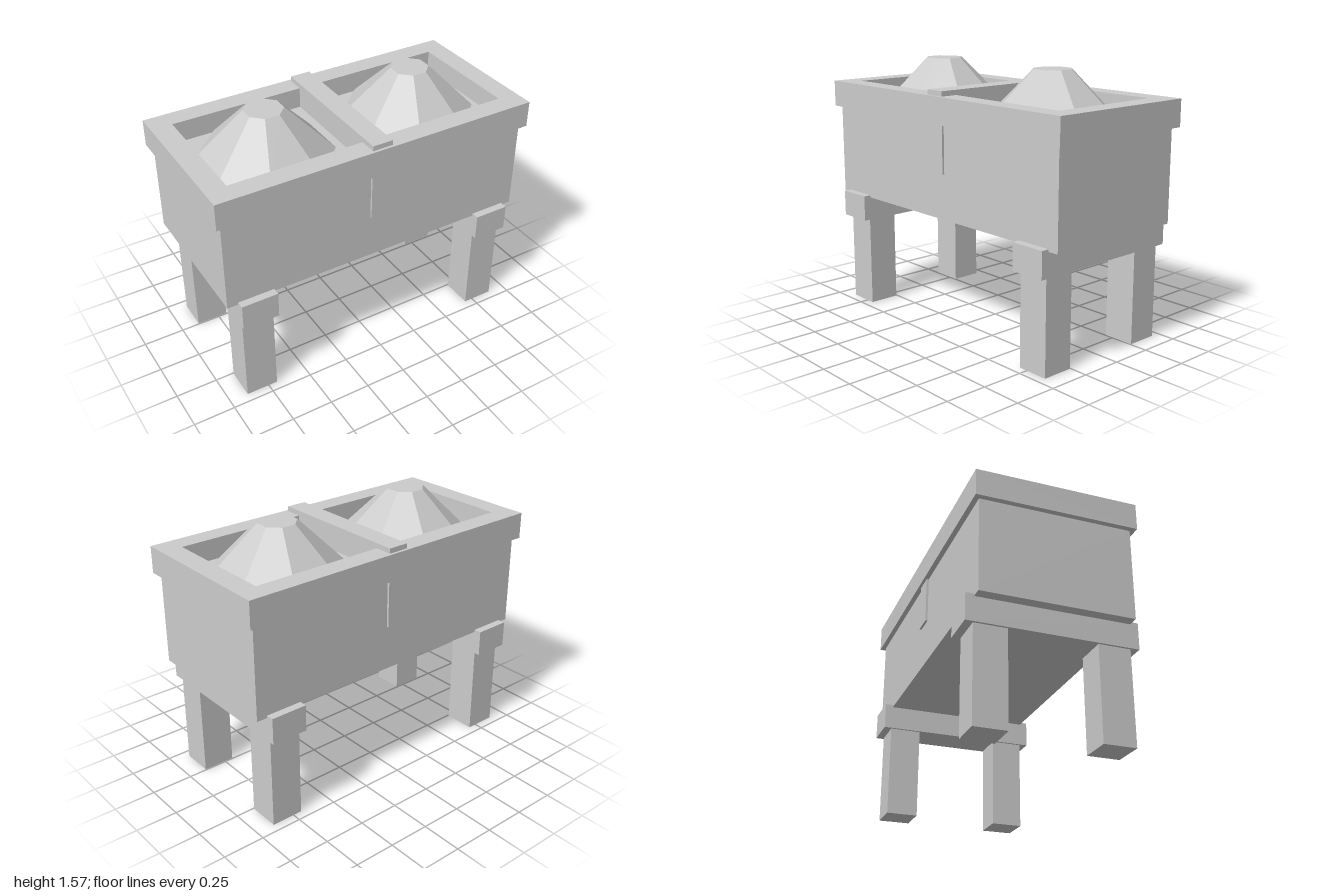
import * as THREE from 'three';

const grey = new THREE.MeshStandardMaterial({ color: 0xcccccc, flatShading: true });

export function createModel() {
  const model = new THREE.Group();

  const add = (name, geometry, x = 0, y = 0, z = 0) => {
    const mesh = new THREE.Mesh(geometry, grey);
    mesh.name = name;
    mesh.position.set(x, y, z);
    model.add(mesh);
    return mesh;
  };
  // Box centred on (x, z), spanning y0 to y1
  const box = (name, w, y0, y1, d, x = 0, z = 0) =>
    add(name, new THREE.BoxGeometry(w, y1 - y0, d), x, (y0 + y1) / 2, z);

  // Trough body and the recessed floor inside the rim
  box('body', 1.934, 0.703, 1.262, 0.892);
  box('innerFloor', 1.76, 1.24, 1.292, 0.72);

  // Rim frame with a rectangular opening
  const rect = (path, hx, hz) =>
    path.moveTo(-hx, -hz).lineTo(hx, -hz).lineTo(hx, hz).lineTo(-hx, hz).closePath();
  const frame = rect(new THREE.Shape(), 1, 0.476);
  frame.holes.push(rect(new THREE.Path(), 0.873, 0.352));
  const rim = new THREE.ExtrudeGeometry(frame, { depth: 0.16, bevelEnabled: false });
  rim.rotateX(-Math.PI / 2);
  add('rim', rim, 0, 1.257, 0);

  // Central divider, showing as a strap over the rim and down both faces
  box('dividerStrap', 0.125, 0.972, 1.447, 0.918);

  // Octagonal mounds, flat sides facing the axes
  const radius = (halfWidth) => halfWidth / Math.cos(Math.PI / 8);
  for (const side of [-1, 1]) {
    const mound = new THREE.CylinderGeometry(radius(0.105), radius(0.366), 0.283, 8);
    mound.rotateY(Math.PI / 8);
    add(side > 0 ? 'leftMound' : 'rightMound', mound, side * 0.476, 1.4325, 0);
  }

  // Cross beams, each carried by a front and a back leg
  for (const side of [-1, 1]) {
    const label = side > 0 ? 'left' : 'right';
    box(label + 'CrossBeam', 0.22, 0.559, 0.717, 0.986, side * 0.792);
    for (const end of [-1, 1]) {
      box(label + (end > 0 ? 'FrontLeg' : 'BackLeg'), 0.193, 0, 0.57, 0.19, side * 0.792, end * 0.351);
    }
  }

  return model;
}
